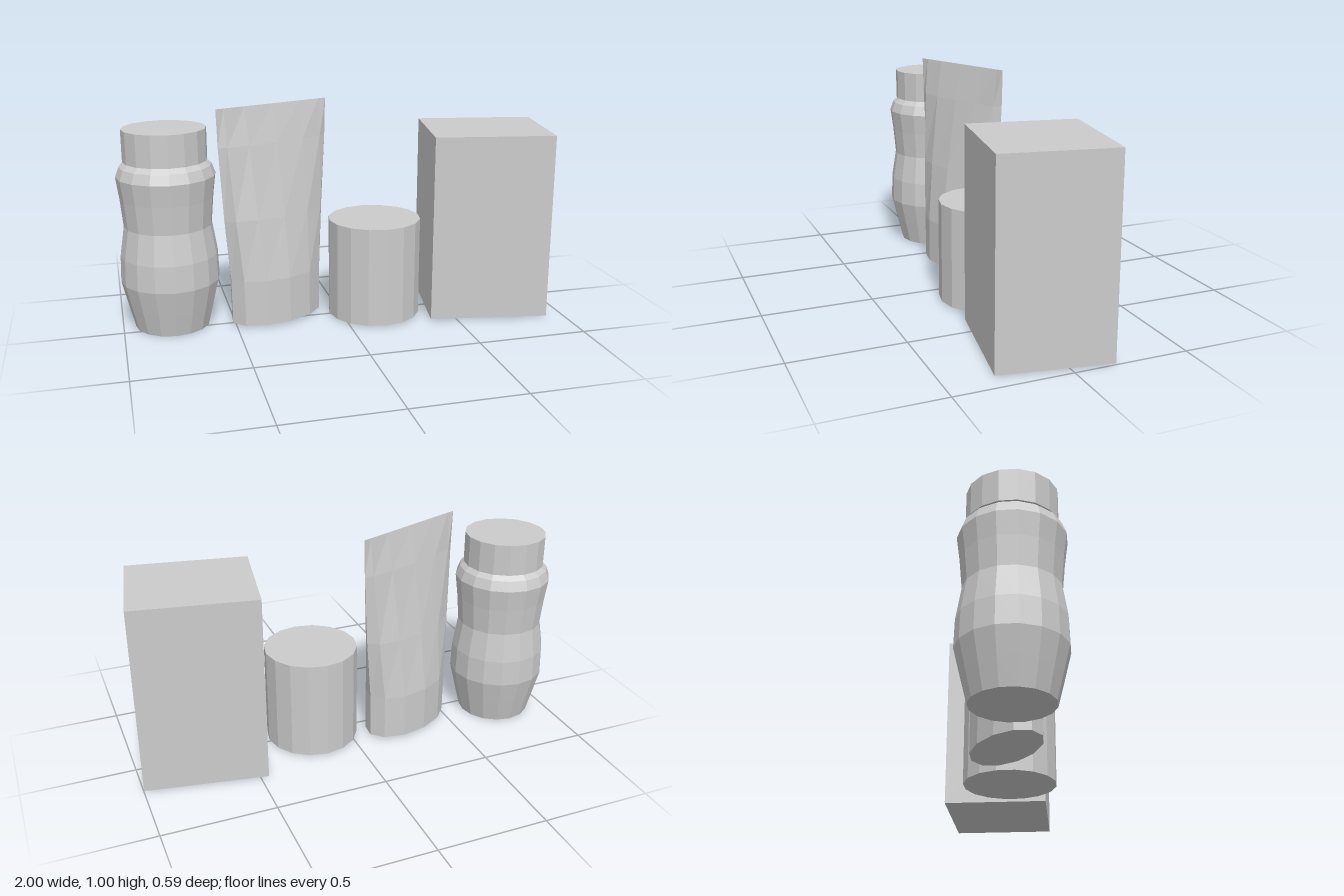
import * as THREE from 'three';

const material = new THREE.MeshStandardMaterial({ color: 0xcccccc, flatShading: true });

function addMesh(parent, name, geometry, x, y, z, turn = 0) {
  const mesh = new THREE.Mesh(geometry, material);
  mesh.name = name;
  mesh.position.set(x, y, z);
  mesh.rotation.y = turn;
  parent.add(mesh);
  return mesh;
}

// Squeeze tube: an oval base that widens and flattens into a straight seam
function squeezeTubeGeometry() {
  const sides = 12;
  // height, half width, half depth
  const sections = [
    [0.01, 0.23, 0.13], [0.22, 0.233, 0.128], [0.5, 0.258, 0.09],
    [0.83, 0.278, 0.035], [1.0, 0.283, 0.001],
  ];
  const positions = [];
  const indices = [];
  for (const [y, a, b] of sections) {
    for (let i = 0; i < sides; i++) {
      const t = (i / sides) * Math.PI * 2;
      positions.push(a * Math.cos(t), y, b * Math.sin(t));
    }
  }
  for (let r = 0; r < sections.length - 1; r++) {
    for (let i = 0; i < sides; i++) {
      const j = (i + 1) % sides;
      const p = r * sides + i, q = r * sides + j;
      indices.push(p, p + sides, q, q, p + sides, q + sides);
    }
  }
  // Flat base and closed seam
  const top = (sections.length - 1) * sides;
  for (let i = 1; i < sides - 1; i++) {
    indices.push(0, i, i + 1, top, top + i + 1, top + i);
  }
  const geometry = new THREE.BufferGeometry();
  geometry.setAttribute('position', new THREE.Float32BufferAttribute(positions, 3));
  geometry.setIndex(indices);
  geometry.computeVertexNormals();
  return geometry;
}

export function createModel() {
  const model = new THREE.Group();
  model.name = 'containers';

  // Waisted bottle with a screw cap
  const bottle = new THREE.Group();
  bottle.name = 'bottle';
  bottle.position.set(-0.777, 0, -0.077);
  const profile = [
    [0, 0], [0.168, 0], [0.195, 0.11], [0.221, 0.22], [0.217, 0.34], [0.195, 0.475],
    [0.206, 0.6], [0.219, 0.7], [0.202, 0.745], [0.175, 0.768], [0, 0.768],
  ].map(([r, y]) => new THREE.Vector2(r, y));
  addMesh(bottle, 'bottleBody', new THREE.LatheGeometry(profile, 16), 0, 0, 0);
  addMesh(bottle, 'bottleCap', new THREE.CylinderGeometry(0.185, 0.185, 0.143, 16), 0, 0.8385, 0);
  model.add(bottle);

  addMesh(model, 'squeezeTube', squeezeTubeGeometry(), -0.299, 0, -0.055, 0.36);

  // Short round tin
  addMesh(model, 'tin', new THREE.CylinderGeometry(0.213, 0.213, 0.455, 16), 0.158, 0.2325, 0.008);

  // Tall carton, turned slightly
  addMesh(model, 'carton', new THREE.BoxGeometry(0.543, 0.855, 0.483), 0.69, 0.4325, 0.01, -0.176);

  return model;
}
